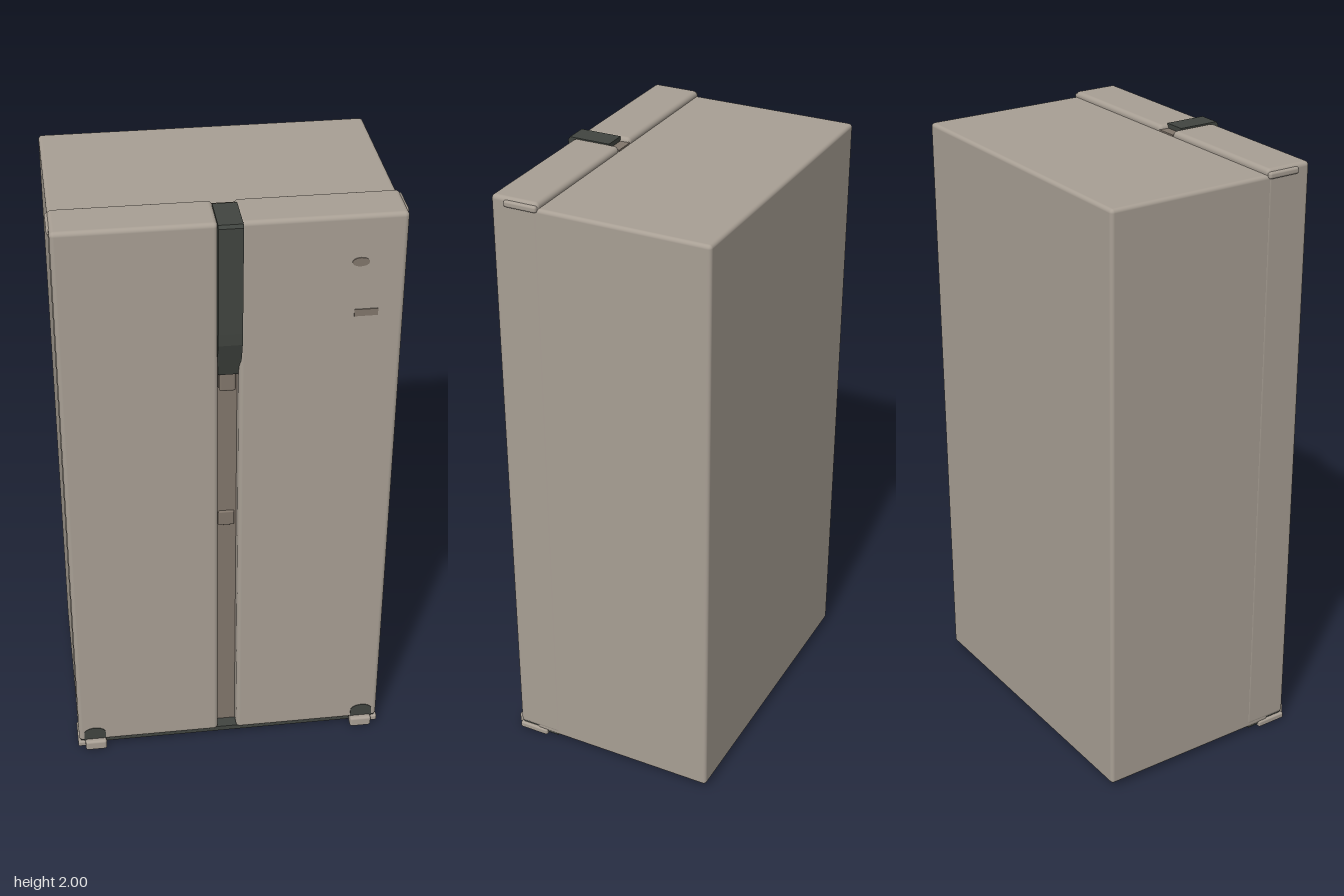
import * as THREE from 'three';
import { RoundedBoxGeometry } from 'three/addons/geometries/RoundedBoxGeometry.js';

const mat = (name, color) => {
  const m = new THREE.MeshStandardMaterial({ color });
  m.name = name;
  return m;
};

export function createModel() {
  const group = new THREE.Group();
  const shell = mat('warm grey shell', 0xa89f94);
  const trim = mat('brown grey trim', 0x81766b);
  const dark = mat('charcoal', 0x414540);

  const add = (name, geometry, material) => {
    const mesh = new THREE.Mesh(geometry, material);
    mesh.name = name;
    group.add(mesh);
    return mesh;
  };
  // Box from its limits, with optional rounded edges
  const box = (name, material, [x0, x1], [y0, y1], [z0, z1], r = 0) => {
    const size = [x1 - x0, y1 - y0, z1 - z0];
    const geo = r ? new RoundedBoxGeometry(...size, 3, r) : new THREE.BoxGeometry(...size);
    geo.translate((x0 + x1) / 2, (y0 + y1) / 2, (z0 + z1) / 2);
    return add(name, geo, material);
  };

  // Cabinet
  box('cabinet', shell, [-0.52, 0.52], [0.018, 1.98], [-0.365, 0.28], 0.012);

  // Two doors, slightly taller than the cabinet
  box('leftDoor', shell, [0.026, 0.521], [0.028, 1.998], [0.187, 0.345], 0.014);
  box('rightDoor', shell, [-0.521, -0.038], [0.028, 1.998], [0.187, 0.345], 0.014);

  // Recessed channel between the doors, with its grip fittings
  box('channel', trim, [-0.042, 0.03], [0.03, 1.985], [0.187, 0.295]);
  box('channelGrip', trim, [-0.032, 0.02], [1.41, 1.48], [0.29, 0.32], 0.008);
  box('channelLatch', trim, [-0.032, 0.02], [0.885, 0.94], [0.29, 0.302], 0.005);

  // Tapered centre handle, extruded across from its side profile
  const profile = new THREE.Shape([
    [0.22, 2], [0.22, 1.95], [0.29, 1.9], [0.29, 1.475], [0.325, 1.475],
    [0.345, 1.54], [0.363, 1.6], [0.365, 1.64], [0.365, 1.99], [0.358, 2],
  ].map(([z, y]) => new THREE.Vector2(-z, y)));
  const handleGeo = new THREE.ExtrudeGeometry(profile, { depth: 0.074, bevelEnabled: false });
  handleGeo.rotateY(Math.PI / 2).translate(-0.041, 0, 0);
  const p = handleGeo.attributes.position;
  for (let i = 0; i < p.count; i++) {
    // narrower towards the lower end
    if (p.getY(i) < 1.5) p.setX(i, -0.004 + (p.getX(i) + 0.004) * 0.85);
  }
  handleGeo.computeVertexNormals();
  add('handle', handleGeo, dark);

  // Badge plates on the left door
  const oval = new THREE.CylinderGeometry(0.026, 0.026, 0.004, 20);
  oval.rotateX(Math.PI / 2).scale(1, 0.55, 1).translate(0.383, 1.847, 0.346);
  add('ovalPlate', oval, trim);
  box('barPlate', trim, [0.37, 0.442], [1.664, 1.687], [0.343, 0.348]);

  // Base strip under the doors
  box('baseStrip', dark, [-0.515, 0.515], [0.014, 0.032], [0.2, 0.336]);

  for (const s of [-1, 1]) {
    const side = s > 0 ? 'left' : 'right';
    const span = (a, b) => (s > 0 ? [a, b] : [-b, -a]);
    // Foot bracket with front toe
    box(side + 'Foot', shell, span(0.43, 0.525), [0.004, 0.026], [0.24, 0.345], 0.006);
    box(side + 'FootToe', shell, span(0.427, 0.5), [0, 0.038], [0.32, 0.364], 0.008);
    // Arched dark recess above the foot
    const arch = new THREE.Shape();
    arch.moveTo(-0.037, 0);
    arch.lineTo(0.037, 0);
    arch.lineTo(0.037, 0.03);
    arch.absellipse(0, 0.03, 0.037, 0.022, 0, Math.PI);
    const archGeo = new THREE.ExtrudeGeometry(arch, { depth: 0.005, bevelEnabled: false });
    archGeo.translate(s * 0.466, 0.034, 0.342);
    add(side + 'FootRecess', archGeo, dark);
    // Hinge cap at the top corner
    box(side + 'HingeCap', shell, span(0.48, 0.528), [1.968, 1.99], [0.19, 0.3], 0.008);
  }
  return group;
}
